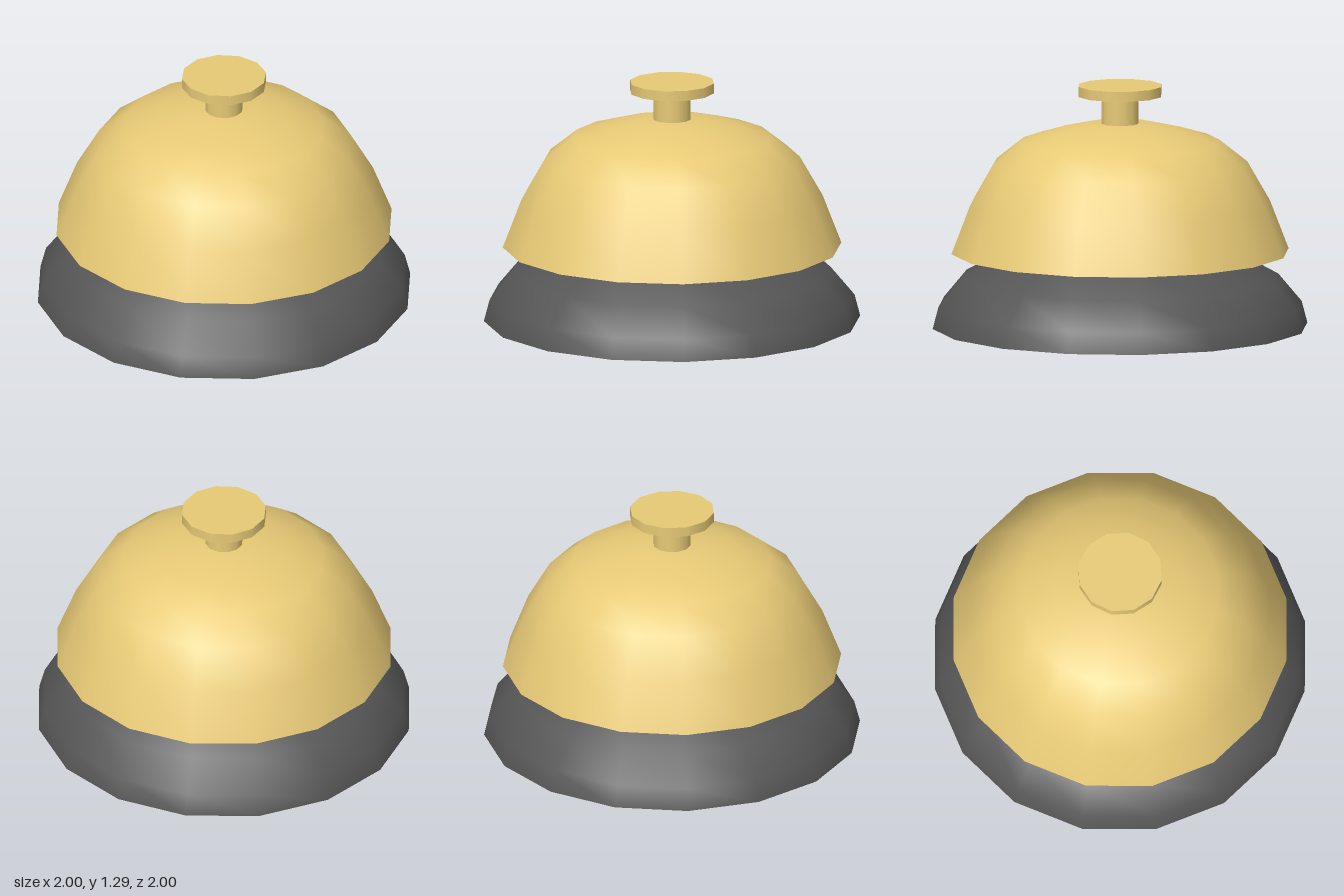
import * as THREE from 'three';

const brass = new THREE.MeshStandardMaterial({ color: 0xe8ca76, side: THREE.DoubleSide });
const dark = new THREE.MeshStandardMaterial({ color: 0x555555, side: THREE.DoubleSide });

// Open shell turned around the y axis from [radius, height] pairs, bottom to top
function shell(name, profile, material) {
  const points = profile.map(([r, y]) => new THREE.Vector2(r, y));
  const mesh = new THREE.Mesh(new THREE.LatheGeometry(points, 16), material);
  mesh.name = name;
  return mesh;
}

// Capped upright cylinder between two heights
function disc(name, radius, y0, y1, material) {
  const mesh = new THREE.Mesh(new THREE.CylinderGeometry(radius, radius, y1 - y0, 12), material);
  mesh.position.y = (y0 + y1) / 2;
  mesh.name = name;
  return mesh;
}

export function createModel() {
  const bell = new THREE.Group();
  bell.name = 'deskBell';
  bell.add(
    // Hollow base, open below and at the top
    shell('base', [[1, 0], [0.97, 0.115], [0.845, 0.265], [0.6, 0.4]], dark),
    // Thin dome, open below
    shell('dome', [[0.9, 0.4], [0.8, 0.66], [0.68, 0.87], [0.53, 0.99],
      [0.36, 1.042], [0.18, 1.085], [0, 1.09]], brass),
    // Plunger reaching down into the dome, with its push button
    disc('stem', 0.1, 0.78, 1.25, brass),
    disc('button', 0.226, 1.236, 1.29, brass),
  );
  return bell;
}
